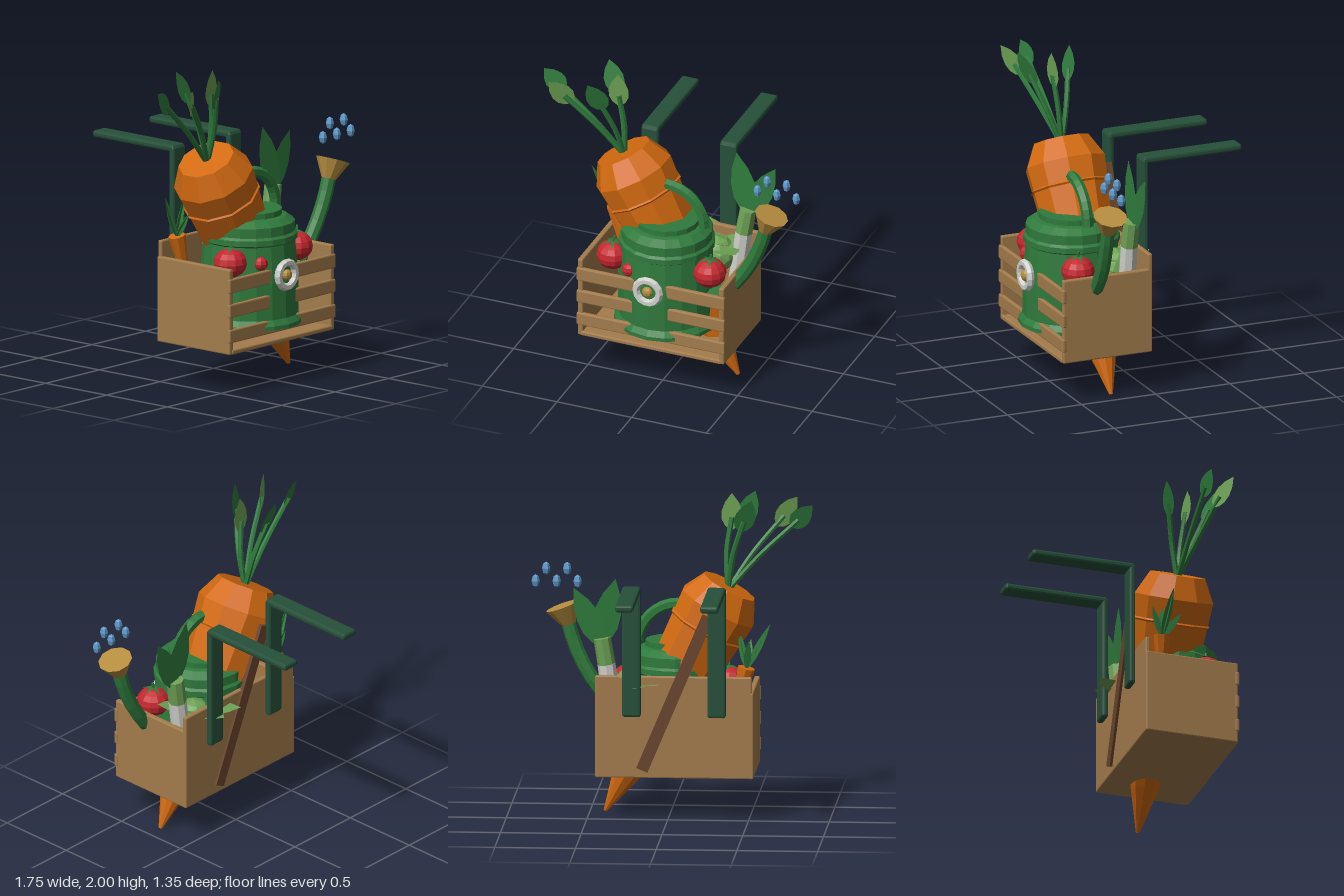
import * as THREE from 'three';
import { RoundedBoxGeometry } from 'three/addons/geometries/RoundedBoxGeometry.js';

const V = (x, y, z) => new THREE.Vector3(x, y, z);

export function createModel() {
  const model = new THREE.Group();
  model.name = 'gardenCrate';

  const mat = (name, color, side = THREE.FrontSide) => {
    const m = new THREE.MeshStandardMaterial({ color, side });
    m.name = name;
    return m;
  };
  const wood = mat('wood', 0xa37c4c);
  const darkWood = mat('darkWood', 0x69452c);
  const orange = mat('orange', 0xd26a10);
  const green = mat('green', 0x2f7a3c, THREE.DoubleSide);
  const postGreen = mat('postGreen', 0x26503a);
  const lightGreen = mat('lightGreen', 0x6ea255, THREE.DoubleSide);
  const red = mat('red', 0xc4262e);
  const white = mat('white', 0xcfcfca);
  const gold = mat('gold', 0xb58d3e);
  const blue = mat('blue', 0x5c98c8);

  // Adds a faceted mesh
  const add = (name, geo, material, pos = [0, 0, 0], rot = [0, 0, 0], parent = model) => {
    const g = geo.index ? geo.toNonIndexed() : geo;
    g.computeVertexNormals();
    const mesh = new THREE.Mesh(g, material);
    mesh.name = name;
    mesh.position.set(...pos);
    mesh.rotation.set(...rot);
    parent.add(mesh);
    return mesh;
  };
  // Bevelled box given by its minimum and maximum corners
  const box = (name, material, a, b, bevel = 0.008) => add(name,
    new RoundedBoxGeometry(b[0] - a[0], b[1] - a[1], b[2] - a[2], 1, bevel), material,
    a.map((v, i) => (v + b[i]) / 2));
  const lathe = (pts, sides) =>
    new THREE.LatheGeometry(pts.map(p => new THREE.Vector2(...p)), sides);
  const tube = (name, pts, r, material, sides = 6) => add(name,
    new THREE.TubeGeometry(new THREE.CatmullRomCurve3(pts), 8, r, sides), material);
  // Flat pointed leaf from base to tip, facing roughly along `facing`
  const leaf = (name, base, tip, width, material, facing = V(0, 0, 1)) => {
    const y = tip.clone().sub(base), len = y.length();
    y.normalize();
    const x = y.clone().cross(facing).normalize(), z = x.clone().cross(y);
    const s = new THREE.Shape();
    s.moveTo(0, 0);
    s.bezierCurveTo(width * 0.65, len * 0.15, width * 0.7, len * 0.6, 0, len);
    s.bezierCurveTo(-width * 0.7, len * 0.6, -width * 0.65, len * 0.15, 0, 0);
    const m = add(name, new THREE.ShapeGeometry(s, 5), material, base.toArray());
    m.quaternion.setFromRotationMatrix(new THREE.Matrix4().makeBasis(x, y, z));
  };
  // Straight tapered part between two points
  const rod = (name, a, b, rA, rB, material, sides = 8) => {
    const d = b.clone().sub(a);
    const m = add(name, new THREE.CylinderGeometry(rB, rA, d.length(), sides), material,
      a.clone().add(b).multiplyScalar(0.5).toArray());
    m.quaternion.setFromUnitVectors(V(0, 1, 0), d.normalize());
  };

  // Crate
  box('crateFloor', wood, [-0.51, 0.26, 0.0], [0.43, 0.29, 0.6]);
  box('crateBack', wood, [-0.52, 0.27, 0.0], [0.45, 0.9, 0.03]);
  box('crateSide', wood, [-0.53, 0.26, 0.0], [-0.495, 0.8, 0.6]);
  box('crateSide', wood, [0.415, 0.26, 0.0], [0.45, 0.8, 0.6]);
  for (const [y, h] of [[0.65, 0.09], [0.495, 0.085], [0.335, 0.085]])
    box('crateSlat', wood, [-0.535, y, 0.58], [0.455, y + h, 0.608]);
  box('crateFrontRail', wood, [-0.51, 0.26, 0.58], [0.43, 0.29, 0.605]);

  // Shoulder straps behind the crate and the diagonal brace
  for (const x of [-0.305, 0.222]) {
    box('strapPost', postGreen, [x - 0.057, 0.65, -0.052], [x + 0.057, 1.46, -0.01], 0.014);
    box('strapArm', postGreen, [x - 0.057, 1.425, -0.68], [x + 0.057, 1.468, -0.015], 0.014);
  }
  add('backBrace', new THREE.BoxGeometry(0.075, 1.05, 0.025), darkWood,
    [-0.045, 0.795, -0.004], [0, 0, 0.4]);

  // Large carrot leaning to the side, tip through the floor
  const carrot = new THREE.Group();
  carrot.name = 'largeCarrot';
  carrot.position.set(0.405, 0.005, 0.26);
  carrot.rotation.z = 0.497;
  model.add(carrot);
  add('carrotBody', lathe([[0, 0], [0.012, 0], [0.095, 0.29], [0.175, 0.62], [0.222, 1.08],
    [0.257, 1.47], [0.18, 1.615], [0, 1.615]], 10), orange, [0, 0, 0], [0, 0, 0], carrot);
  for (const [y, r] of [[1.02, 0.215], [1.32, 0.243]])
    add('carrotRidge', new THREE.TorusGeometry(r, 0.011, 4, 10), orange,
      [0, y, 0], [Math.PI / 2, 0, Math.PI / 2], carrot);

  // Carrot top: stems and leaves
  const crown = V(-0.355, 1.4, 0.26);
  for (const [end, tip, m] of [
    [V(-0.79, 1.84, 0.3), V(-0.875, 1.93, 0.31), green],
    [V(-0.69, 1.84, 0.43), V(-0.77, 1.95, 0.49), lightGreen],
    [V(-0.46, 1.85, 0.43), V(-0.51, 1.985, 0.49), green],
    [V(-0.46, 1.85, 0.17), V(-0.51, 1.985, 0.14), green],
    [V(-0.375, 1.85, 0.31), V(-0.375, 2.0, 0.32), lightGreen]]) {
    const mid = crown.clone().lerp(end, 0.5);
    mid.x += 0.02;
    tube('carrotStem', [crown, mid, end], 0.017, green);
    const base = end.clone().lerp(tip, -0.55);
    leaf('carrotLeaf', base, tip, 0.13, m, V(0.15, 0.35, 1));
  }

  // Watering can
  const can = [-0.043, 0, 0.33];
  add('canBody', lathe([[0, 0.36], [0.33, 0.36], [0.33, 0.385], [0.305, 0.42], [0.304, 0.65],
    [0.285, 0.88], [0.3, 0.89], [0.3, 0.925], [0.285, 0.94], [0.285, 1.0], [0.235, 1.035],
    [0.205, 1.04], [0.205, 1.075], [0, 1.075]], 18), green, can);
  add('canHandle', new THREE.TorusGeometry(0.25, 0.036, 6, 8, Math.PI / 2), green,
    [-0.045, 1.05, 0.33]);
  add('handleEnd', new THREE.CircleGeometry(0.036, 6), green,
    [-0.045, 1.3, 0.33], [0, -Math.PI / 2, 0]);
  tube('canSpout', [V(0.2, 0.56, 0.36), V(0.35, 0.64, 0.37), V(0.5, 0.82, 0.37),
    V(0.6, 1.02, 0.38), V(0.645, 1.17, 0.385)], 0.045, green, 8);
  rod('spoutHead', V(0.638, 1.15, 0.385), V(0.68, 1.265, 0.385), 0.045, 0.108, gold, 10);
  for (let i = 0; i < 5; i++)
    add('waterDrop', new THREE.SphereGeometry(0.026, 6, 4).scale(1, 1.6, 1), blue,
      [0.585 + i * 0.065, i % 2 ? 1.5 : 1.42, 0.385]);

  // Round flower badge on the can
  add('badgeRing', new THREE.TorusGeometry(0.078, 0.025, 6, 14), white, [-0.043, 0.695, 0.64]);
  add('badgeCentre', new THREE.SphereGeometry(0.036, 8, 6).scale(1, 1, 0.7), gold,
    [-0.043, 0.695, 0.645]);

  // Tomatoes with star-shaped calyx
  const star = new THREE.Shape();
  for (let i = 0; i < 10; i++) {
    const r = i % 2 ? 0.025 : 0.075, a = i * Math.PI / 5;
    star[i ? 'lineTo' : 'moveTo'](r * Math.cos(a), r * Math.sin(a));
  }
  for (const [x, y, z] of [[-0.355, 0.795, 0.45], [0.285, 0.795, 0.43]]) {
    add('tomato', new THREE.SphereGeometry(0.105, 12, 8).scale(1, 0.88, 1), red, [x, y, z]);
    const calyx = new THREE.ShapeGeometry(star).rotateX(-Math.PI / 2);
    const p = calyx.attributes.position;
    for (let i = 0; i < p.count; i++)
      p.setY(i, -4 * (p.getX(i) ** 2 + p.getZ(i) ** 2));
    add('tomatoCalyx', calyx, green, [x, y + 0.098, z]);
    rod('tomatoStalk', V(x, y + 0.08, z), V(x + 0.01, y + 0.13, z), 0.01, 0.007, green, 5);
  }
  add('smallTomato', new THREE.SphereGeometry(0.045, 8, 6), red, [-0.2, 0.78, 0.565]);

  // Leek
  rod('leekWhite', V(0.33, 0.5, 0.13), V(0.388, 0.95, 0.13), 0.058, 0.056, white);
  rod('leekStalk', V(0.388, 0.95, 0.13), V(0.415, 1.115, 0.125), 0.056, 0.054, lightGreen);
  leaf('leekLeaf', V(0.43, 1.06, 0.13), V(0.33, 1.49, 0.11), 0.17, green);
  leaf('leekLeaf', V(0.41, 1.06, 0.12), V(0.59, 1.43, 0.11), 0.15, green);

  // Small carrot in the back corner
  rod('smallCarrot', V(-0.385, 0.55, 0.14), V(-0.48, 0.94, 0.12), 0.008, 0.055, orange);
  for (const [x, y, z] of [[-0.625, 1.21, 0.15], [-0.43, 1.17, 0.14],
    [-0.5, 1.12, 0.05], [-0.5, 1.1, 0.24]]) {
    const base = V(-0.48, 0.93, 0.12), tip = V(x, y, z);
    leaf('smallCarrotLeaf', base, tip, 0.045, green);
    leaf('smallCarrotLeaf', base, tip, 0.045, green, V(1, 0, 0));
  }

  // Lettuce with broad spreading leaves
  add('lettuceHeart', new THREE.IcosahedronGeometry(0.12, 1), lightGreen, [0.22, 0.77, 0.15]);
  for (const [x, y, z] of [[0.06, 0.86, -0.1], [0.4, 0.87, 0.29], [0.38, 0.88, 0.07],
    [0.25, 0.92, 0.3], [0.2, 0.84, -0.09]])
    leaf('lettuceLeaf', V(0.22, 0.82, 0.14), V(x, y, z), 0.17, lightGreen, V(0, 1, 0));

  return model;
}
